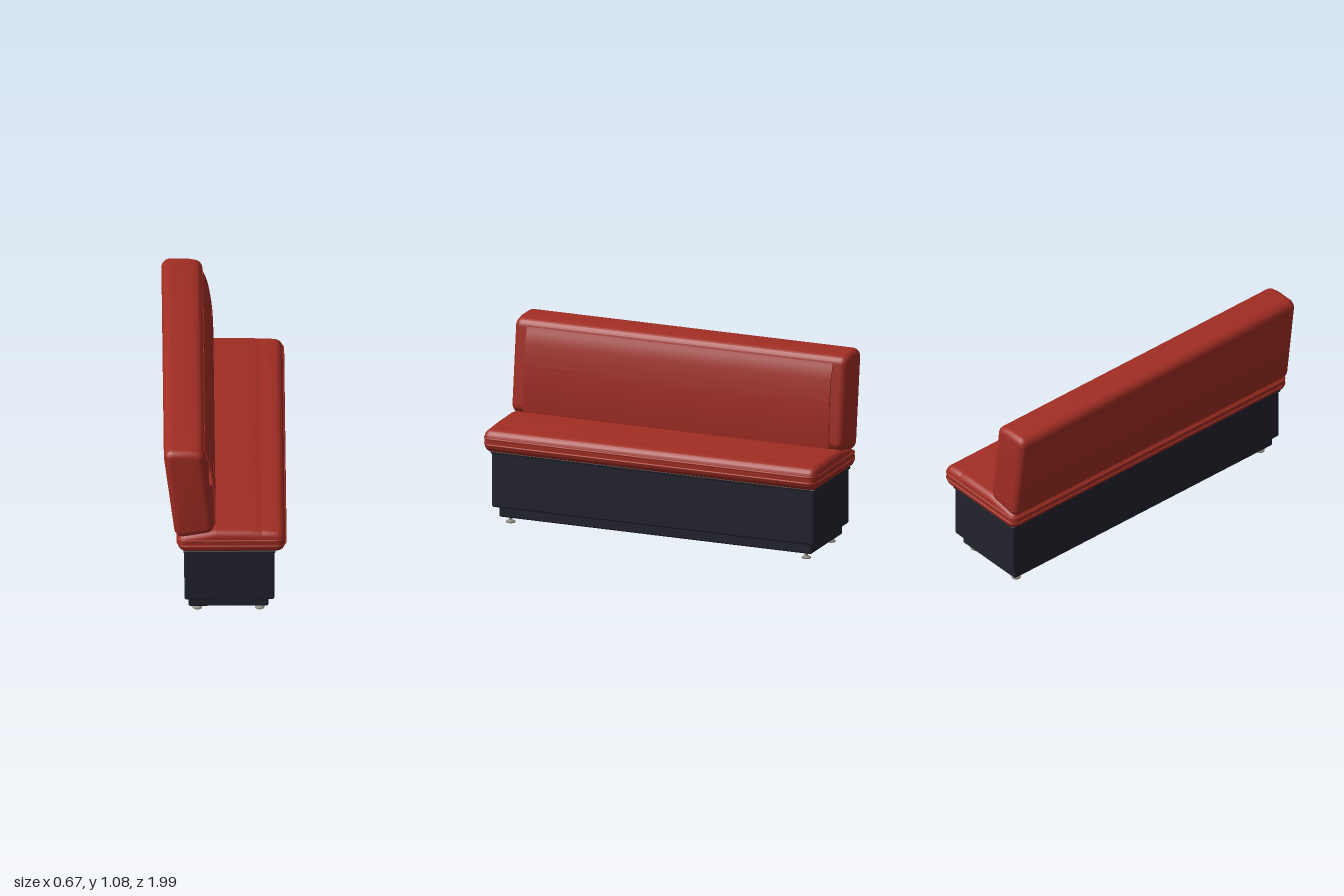
import * as THREE from 'three';
import { toCreasedNormals } from 'three/addons/utils/BufferGeometryUtils.js';
import { RoundedBoxGeometry } from 'three/addons/geometries/RoundedBoxGeometry.js';

// Convex outline (counter-clockwise corner centres) with an arc of radius r at each corner
function roundedOutline(pts, r) {
  const shape = new THREE.Shape();
  const n = pts.length;
  const normalAngle = (a, b) => Math.atan2(b[1] - a[1], b[0] - a[0]) - Math.PI / 2;
  pts.forEach((p, i) => {
    const a0 = normalAngle(pts[(i + n - 1) % n], p);
    let a1 = normalAngle(p, pts[(i + 1) % n]);
    while (a1 < a0) a1 += Math.PI * 2;
    shape.absarc(p[0], p[1], r, a0, a1, false);
  });
  return shape;
}

// Upholstered block: side profile swept along z, every edge rounded
function cushion(pts, halfLength, radius) {
  const bevel = radius - 0.01;
  const depth = 2 * (halfLength - bevel);
  const geo = new THREE.ExtrudeGeometry(roundedOutline(pts, 0.01), {
    depth, steps: 1, curveSegments: 6,
    bevelEnabled: true, bevelSize: bevel, bevelThickness: bevel, bevelSegments: 7,
  });
  geo.translate(0, 0, -depth / 2);
  return toCreasedNormals(geo, 0.7);
}

// Closed cord around a rounded rectangle in the horizontal plane
function cord(x0, x1, halfLength, cornerRadius, thickness) {
  const c = cornerRadius;
  const outline = roundedOutline([
    [x0 + c, -halfLength + c], [x1 - c, -halfLength + c],
    [x1 - c, halfLength - c], [x0 + c, halfLength - c],
  ], c);
  outline.closePath();
  const pts = outline.getPoints(8).map((p) => new THREE.Vector3(p.x, 0, p.y));
  const path = new THREE.CurvePath();
  for (let i = 0; i < pts.length - 1; i++) {
    if (pts[i].distanceTo(pts[i + 1]) > 1e-6) path.add(new THREE.LineCurve3(pts[i], pts[i + 1]));
  }
  return new THREE.TubeGeometry(path, 360, thickness, 8, true);
}

export function createModel() {
  const group = new THREE.Group();
  const material = (name, color) => {
    const m = new THREE.MeshStandardMaterial({ color });
    m.name = name;
    return m;
  };
  const red = material('red upholstery', 0xa12d23);
  const navy = material('dark navy base', 0x23232e);
  const metal = material('metal', 0x8a877c);

  const add = (name, geo, mat, x = 0, y = 0, z = 0) => {
    const mesh = new THREE.Mesh(geo, mat);
    mesh.name = name;
    mesh.position.set(x, y, z);
    group.add(mesh);
    return mesh;
  };
  const roundedBox = (name, x0, x1, y0, y1, halfLength, r, mat) =>
    add(name, new RoundedBoxGeometry(x1 - x0, y1 - y0, 2 * halfLength, 4, r), mat,
      (x0 + x1) / 2, (y0 + y1) / 2, 0);

  // Base box, rim and recessed plinth
  roundedBox('base', -0.222, 0.27, 0.097, 0.425, 0.96, 0.012, navy);
  roundedBox('baseRim', -0.228, 0.277, 0.404, 0.42, 0.966, 0.007, navy);
  roundedBox('plinth', -0.2, 0.237, 0.036, 0.11, 0.93, 0.01, navy);

  // Levelling feet
  const foot = new THREE.LatheGeometry([
    [0, 0], [0.026, 0], [0.026, 0.006], [0.012, 0.014], [0.009, 0.016], [0.009, 0.045],
  ].map(([x, y]) => new THREE.Vector2(x, y)), 20);
  for (const x of [-0.152, 0.19]) {
    for (const z of [-0.88, 0.88]) add('foot', toCreasedNormals(foot, 0.6), metal, x, 0, z);
  }

  // Seat with a slight crown, sloping down under the backrest
  add('seat', cushion([
    [-0.21, 0.47], [0.279, 0.47], [0.279, 0.499], [0.2, 0.502],
    [0.12, 0.506], [-0.05, 0.507], [-0.21, 0.479],
  ], 0.99, 0.05), red);

  // Two rows of piping around the seat
  for (const y of [0.467, 0.502]) {
    add('seatPiping', cord(-0.26, 0.331, 0.99, 0.05, 0.006), red, 0, y, 0);
  }

  // Reclined backrest
  add('backrest', cushion([
    [-0.229, 0.566], [-0.11, 0.588], [-0.161, 1.02], [-0.2, 1.027], [-0.285, 1.027],
  ], 0.99, 0.05), red);

  // Thin bowed panel in front of the backrest
  const bow = new THREE.SplineCurve([
    [-0.053, 0.53], [-0.051, 0.64], [-0.059, 0.8], [-0.082, 0.95], [-0.109, 1.03],
  ].map(([x, y]) => new THREE.Vector2(x, y))).getPoints(24);
  const inner = bow.map((p) => new THREE.Vector2(p.x - 0.009, p.y)).reverse();
  const panel = new THREE.ExtrudeGeometry(new THREE.Shape([...bow, ...inner]),
    { depth: 1.82, bevelEnabled: false });
  panel.translate(0, 0, -0.91);
  add('backPanel', toCreasedNormals(panel, 0.6), red);

  // Short pleats at both ends of the panel
  for (const side of [-1, 1]) {
    add('pleat', new THREE.BoxGeometry(0.026, 0.005, 0.36), red, -0.073, 0.814, side * 0.73);
  }

  return group;
}
